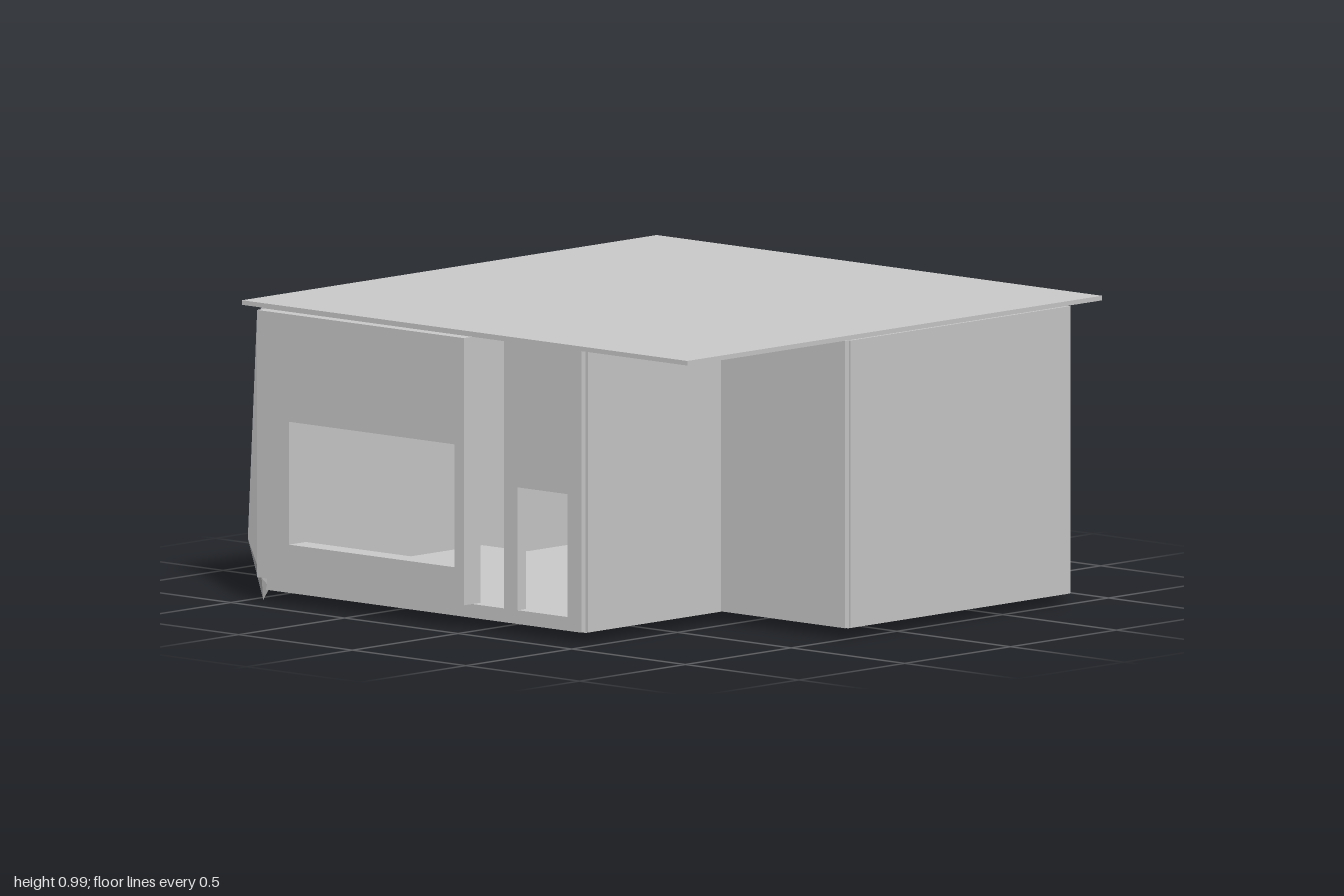
import * as THREE from 'three';
import { ConvexGeometry } from 'three/addons/geometries/ConvexGeometry.js';

export function createModel() {
  const group = new THREE.Group();
  const material = new THREE.MeshStandardMaterial({ color: 0xcccccc, flatShading: true, side: THREE.DoubleSide });

  const add = (name, geometry) => {
    const mesh = new THREE.Mesh(geometry, material);
    mesh.name = name;
    group.add(mesh);
  };

  // Box from its minimum and maximum corners
  const box = (name, [x0, y0, z0], [x1, y1, z1]) =>
    add(name, new THREE.BoxGeometry(x1 - x0, y1 - y0, z1 - z0)
      .translate((x0 + x1) / 2, (y0 + y1) / 2, (z0 + z1) / 2));

  const rectangle = (Type, [a0, b0, a1, b1]) => {
    const path = new Type();
    path.moveTo(a0, b0).lineTo(a1, b0).lineTo(a1, b1).lineTo(a0, b1).closePath();
    return path;
  };

  // Upright wall in the z-y plane, from x0 to x1, with openings
  const sideWall = (name, x0, x1, outline, openings) => {
    const shape = rectangle(THREE.Shape, outline);
    shape.holes = openings.map((o) => rectangle(THREE.Path, o));
    add(name, new THREE.ExtrudeGeometry(shape, { depth: x1 - x0, bevelEnabled: false })
      .rotateY(-Math.PI / 2).translate(x1, 0, 0));
  };

  // Flat slab drawn in the x-z plane
  const slab = (name, shape, bottom, top) =>
    add(name, new THREE.ExtrudeGeometry(shape, { depth: top - bottom, bevelEnabled: false, curveSegments: 12 })
      .rotateX(Math.PI / 2).translate(0, top, 0));

  const ground = 0.035, raised = 0.08, ceiling = 0.97;

  box('roof', [-0.98, ceiling, -0.97], [0.98, 0.985, 0.99]);

  // Walls; the +x side stays open
  box('backWall', [-0.87, ground, -0.96], [0.82, ceiling, -0.9]);
  box('frontWall', [-0.22, ground, 0.985], [0.82, ceiling, 1]);
  box('returnWall', [-0.24, ground, 0.44], [-0.215, ceiling, 0.995]);
  box('recessedFrontWall', [-0.87, ground, 0.43], [-0.22, ceiling, 0.45]);

  // Window wall with a large window, a tall doorway and a low opening
  const largeWindow = [-0.81, 0.2, -0.08, 0.6];
  sideWall('windowWall', -0.89, -0.85, [-0.96, ground, 0.44, ceiling], [
    largeWindow,
    [-0.04, raised, 0.1, 0.95],
    [0.16, raised, 0.38, 0.48],
  ]);
  sideWall('windowWallOuterLayer', -0.93, -0.89, [-0.95, raised, -0.04, 0.95], [largeWindow]);

  // Pointed fin at the rear corner
  add('cornerFin', new ConvexGeometry([
    [-0.88, 0.97, -0.955], [-0.92, 0.2, -1], [-0.89, 0, -0.96],
    [-0.93, 0.94, -0.95], [-0.93, 0.08, -0.93], [-0.87, 0.04, -0.95],
  ].map((p) => new THREE.Vector3(...p))));

  // Lower floor, notched at the recessed front corner
  const floor = new THREE.Shape([
    [-0.87, -0.96], [0.82, -0.96], [0.82, 0.99], [-0.22, 0.99], [-0.22, 0.44], [-0.87, 0.44],
  ].map((p) => new THREE.Vector2(...p)));
  slab('lowerFloor', floor, 0.032, 0.037);

  // Raised floor with a concave rounded corner
  const cx = 0.08, cz = 0.33, radius = 0.3;
  const platform = new THREE.Shape();
  platform.moveTo(-0.87, -0.9).lineTo(cx, -0.9).lineTo(cx, cz - radius);
  platform.absarc(cx, cz, radius, Math.PI * 1.5, Math.PI, true);
  platform.lineTo(-0.22, 0.44).lineTo(-0.87, 0.44).closePath();
  slab('raisedFloor', platform, ground, raised);

  // Curved steps nested in that corner
  [[0.2, 0.05], [0.25, 0.065]].forEach(([inner, top], i) => {
    const step = new THREE.Shape();
    step.moveTo(cx, cz - radius);
    step.absarc(cx, cz, radius, Math.PI * 1.5, Math.PI, true);
    step.absarc(cx, cz, inner, Math.PI, Math.PI * 1.5, false);
    step.closePath();
    slab(`curvedStep${i + 1}`, step, ground, top);
  });

  return group;
}
